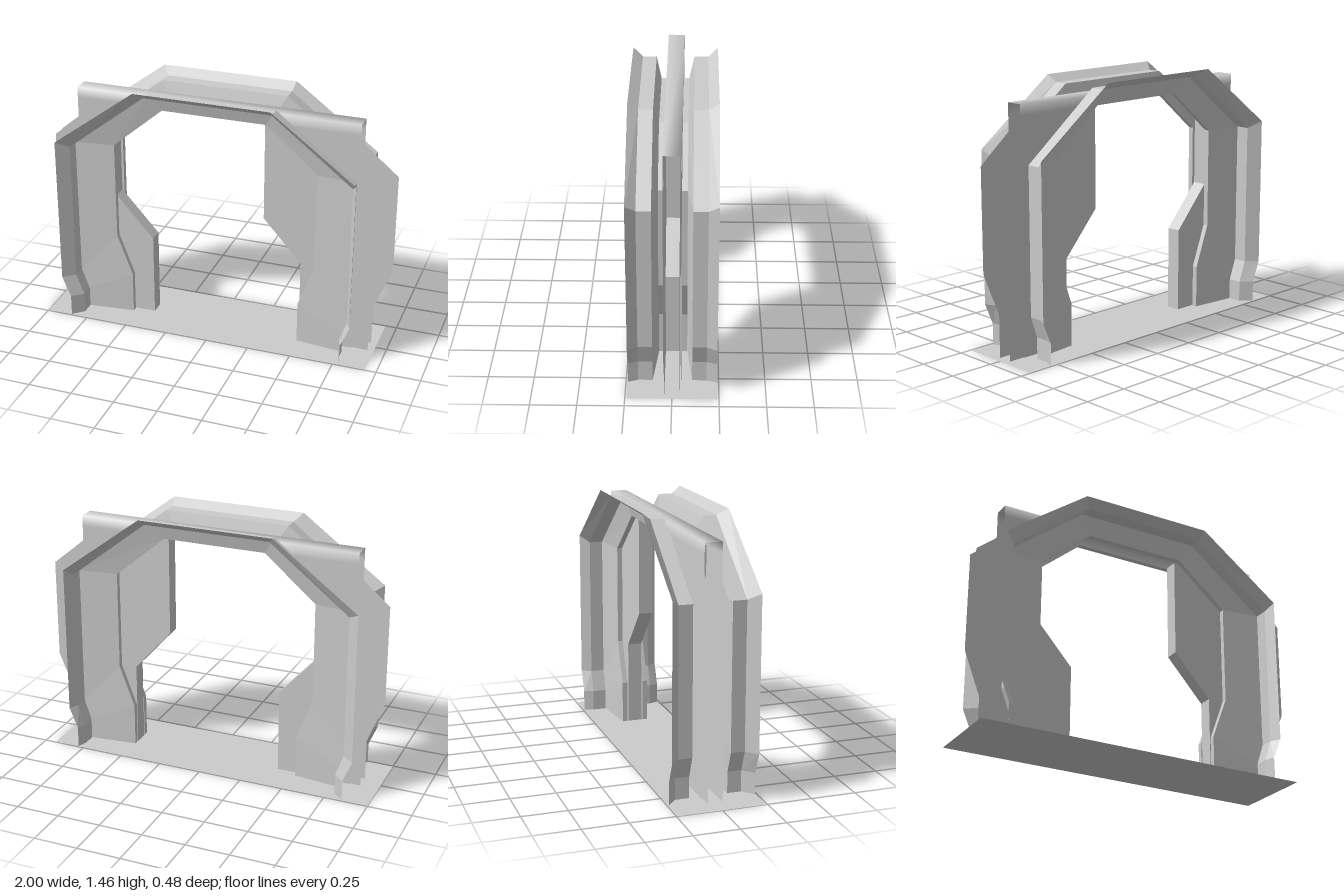
import * as THREE from 'three';

const flat = new THREE.MeshStandardMaterial({ color: 0xcccccc, side: THREE.DoubleSide, flatShading: true });
const smooth = new THREE.MeshStandardMaterial({ color: 0xcccccc, side: THREE.DoubleSide });

// Arch outlines [x, y], from the right foot over the top to the left foot
const RIM = [[-0.85, 0], [-0.85, 0.12], [-0.9, 0.24], [-0.9, 1.1], [-0.42, 1.455],
  [0.36, 1.455], [0.835, 1.1], [0.835, 0.24], [0.785, 0.12], [0.785, 0]];
const BAND = [[-0.79, 0], [-0.79, 0.12], [-0.835, 0.24], [-0.835, 1.06], [-0.38, 1.415],
  [0.35, 1.415], [0.805, 1.06], [0.805, 0.24], [0.765, 0.12], [0.765, 0]];
const OPENING = [[-0.52, 0], [-0.52, 0.245], [-0.61, 0.485], [-0.61, 1.06], [-0.315, 1.31],
  [0.285, 1.31], [0.58, 1.06], [0.58, 0.485], [0.49, 0.245], [0.49, 0]];

// Sheet between successive rows of 3D points; rows have equal length
function loft(rows) {
  const n = rows[0].length, index = [];
  for (let r = 0; r < rows.length - 1; r++) {
    for (let i = 0; i < n - 1; i++) {
      const a = r * n + i, b = a + n;
      index.push(a, b, a + 1, a + 1, b, b + 1);
    }
  }
  const geo = new THREE.BufferGeometry();
  geo.setAttribute('position', new THREE.Float32BufferAttribute(rows.flat(2), 3));
  geo.setIndex(index);
  geo.computeVertexNormals();
  return geo;
}

const atZ = (path, z) => path.map(([x, y]) => [x, y, z]);

function add(parent, name, geo, material = flat) {
  const mesh = new THREE.Mesh(geo, material);
  mesh.name = name;
  parent.add(mesh);
  return mesh;
}

// Flat sheet cut to an outline at depth z
function sheet(parent, name, outline, z) {
  const shape = new THREE.Shape(outline.map(([x, y]) => new THREE.Vector2(x, y)));
  add(parent, name, new THREE.ShapeGeometry(shape).translate(0, 0, z));
}

// One side of the door surround: flared rim, reveal, sloped panel, lip and wall plate
function surround(name, s) {
  const g = new THREE.Group();
  g.name = name;
  const strips = [
    ['flaredRim', RIM, 0.24, BAND, 0.185],
    ['reveal', BAND, 0.185, BAND, 0.107],
    ['slopedPanel', BAND, 0.107, OPENING, 0.078],
    ['openingLip', OPENING, 0.078, OPENING, 0.048],
  ];
  for (const [part, p, z0, q, z1] of strips) add(g, part, loft([atZ(p, s * z0), atZ(q, s * z1)]));
  sheet(g, 'wallPlate', [...OPENING, [0.805, 0], [0.805, 1.31], [-0.835, 1.31], [-0.835, 0]], s * 0.048);
  return g;
}

// Sliding leaf: two sheets joined along the meeting edge, open at the outer end
function leaf(name, outer, meeting) {
  const g = new THREE.Group();
  g.name = name;
  for (const [part, z] of [['frontSheet', 0.041], ['backSheet', -0.041]]) sheet(g, part, [...outer, ...meeting], z);
  add(g, 'meetingEdge', loft([atZ(meeting, 0.041), atZ(meeting, -0.041)]));
  return g;
}

export function createModel() {
  const model = new THREE.Group();
  model.name = 'slidingDoorway';

  model.add(surround('frontSurround', 1), surround('backSurround', -1));

  // Soft-shaded cap folded over the top of both wall plates
  const fold = [[1.31, 0.048], [1.37, 0.048], [1.37, -0.048], [1.31, -0.048]];
  add(model, 'topCap', loft(fold.map(([y, z]) => [[-0.835, y, z], [0.805, y, z]])), smooth);

  model.add(leaf('rightLeaf',
    [[-0.895, 0], [-0.895, 0.24], [-0.99, 0.485], [-0.99, 1.06], [-0.69, 1.31]],
    [[-0.62, 1.31], [-0.62, 0.73], [-0.4, 0.485], [-0.4, 0]]));
  model.add(leaf('leftLeaf',
    [[0.9, 0], [0.9, 0.24], [1, 0.485], [1, 1.06], [0.7, 1.31]],
    [[0.27, 1.31], [0.27, 0.73], [0.49, 0.485], [0.49, 0]]));

  // Floor sheet
  const floor = add(model, 'floor', new THREE.PlaneGeometry(1.935, 0.484).rotateX(-Math.PI / 2));
  floor.position.x = -0.0325;
  return model;
}
